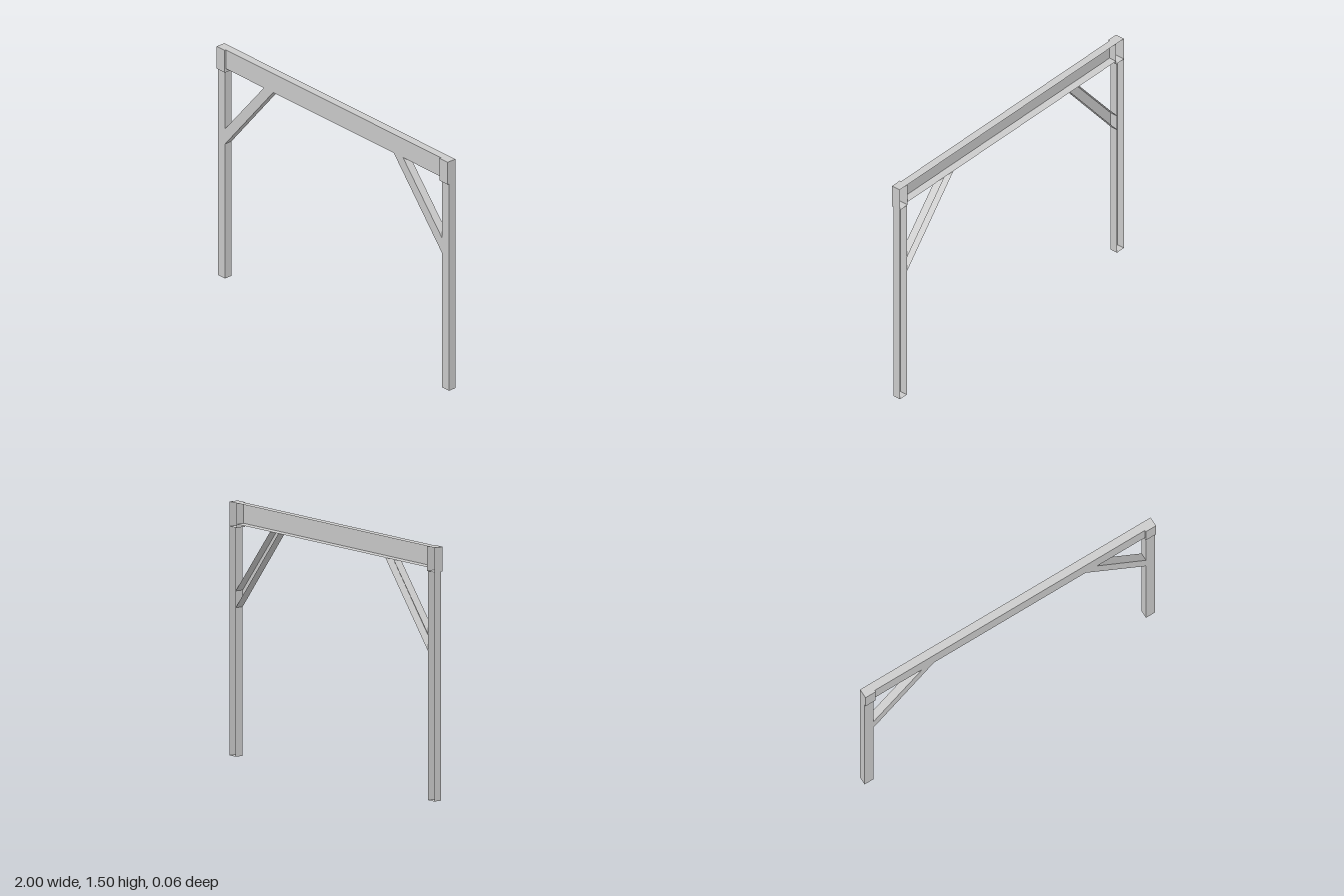
import * as THREE from 'three';
import { mergeGeometries } from 'three/addons/utils/BufferGeometryUtils.js';

const BACK = -0.03;
const FACE = 0.02;
const material = new THREE.MeshStandardMaterial({ color: 0xcccccc, side: THREE.DoubleSide, flatShading: true });

// Hollow timber member: a front panel with walls running back, no back face.
// outline is counter-clockwise on the +x side; edges listed in open get no wall.
function shell(name, outline, front, side = 1, open = []) {
  const pts = outline.map(([x, y]) => new THREE.Vector2(x * side, y));
  const panel = new THREE.ShapeGeometry(new THREE.Shape(pts)).toNonIndexed();
  panel.deleteAttribute('uv');
  panel.translate(0, 0, front);

  const pos = [];
  pts.forEach((p, i) => {
    if (open.includes(i)) return;
    const q = pts[(i + 1) % pts.length];
    const [a, b] = side > 0 ? [p, q] : [q, p];
    pos.push(a.x, a.y, front, a.x, a.y, BACK, b.x, b.y, BACK);
    pos.push(a.x, a.y, front, b.x, b.y, BACK, b.x, b.y, front);
  });
  const walls = new THREE.BufferGeometry();
  walls.setAttribute('position', new THREE.Float32BufferAttribute(pos, 3));
  walls.computeVertexNormals();

  const mesh = new THREE.Mesh(mergeGeometries([panel, walls]), material);
  mesh.name = name;
  return mesh;
}

// Corners in order: bottom edge, right edge, top edge, left edge
const rect = (x0, x1, y0, y1) => [[x0, y0], [x1, y0], [x1, y1], [x0, y1]];

export function createModel() {
  const group = new THREE.Group();
  group.name = 'timberFrame';

  // Top beam, running between the corner blocks
  group.add(shell('beam', rect(-0.93, 0.93, 1.376, 1.5), FACE, 1, [1, 3]));

  for (const side of [1, -1]) {
    const label = side > 0 ? 'left' : 'right';
    // Post, closed at the foot and capped by the corner block
    group.add(shell(label + 'Post', rect(0.938, 1, 0, 1.354), FACE, side, [2]));
    // Corner block, standing slightly proud of post and beam
    group.add(shell(label + 'CornerBlock', rect(0.93, 1, 1.354, 1.5), 0.03, side));
    // Diagonal brace, open where it meets post and beam
    const brace = [[0.938, 0.881], [0.938, 0.98], [0.602, 1.376], [0.522, 1.376]];
    group.add(shell(label + 'Brace', brace, FACE, side, [0, 2]));
  }
  return group;
}
